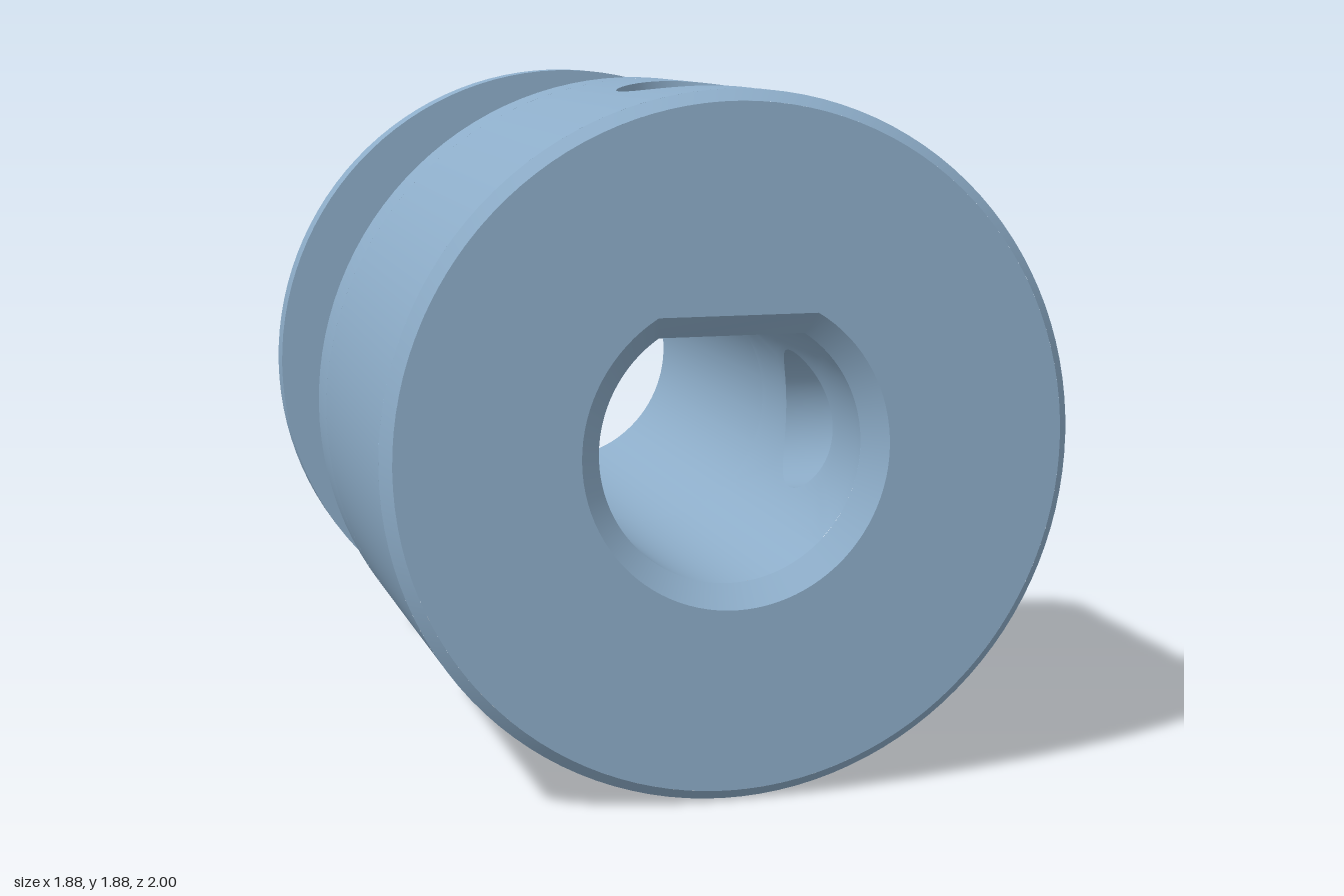
import * as THREE from 'three';
import { mergeGeometries, toCreasedNormals } from 'three/addons/utils/BufferGeometryUtils.js';

const R = 0.94, BORE = 0.36, FLAT = 0.3, EDGE = 0.03, BEVEL = 0.06;
const HUB_BACK = -0.06, FLANGE_FRONT = -0.88, TOP = Math.PI / 2;
const SCREW_R = 0.195, SCREW_Z = 0.53;

// Surface from f(u, v) with u, v in 0..1
function grid(f, nu, nv) {
  const pos = [], index = [];
  for (let j = 0; j <= nv; j++)
    for (let i = 0; i <= nu; i++) pos.push(...f(i / nu, j / nv));
  for (let j = 0; j < nv; j++)
    for (let i = 0; i < nu; i++) {
      const a = j * (nu + 1) + i, b = a + nu + 1;
      index.push(a, a + 1, b + 1, a, b + 1, b);
    }
  const g = new THREE.BufferGeometry();
  g.setAttribute('position', new THREE.Float32BufferAttribute(pos, 3));
  g.setIndex(index);
  return g;
}

const polar = (r, a, z) => [r * Math.cos(a), r * Math.sin(a), z];
const mix = THREE.MathUtils.lerp;

// Band about the axis between two radius/z pairs
function band(r0, z0, r1, z1, a0 = 0, a1 = Math.PI * 2) {
  const n = Math.ceil((a1 - a0) * 18);
  return grid((u, v) => polar(mix(r0, r1, v), mix(a0, a1, u), mix(z0, z1, v)), n, 1);
}

// D-shaped bore outline, the last point closing the flat
function dOutline(r, flat) {
  const half = Math.acos(flat / r), pts = [];
  for (let i = 0; i <= 80; i++)
    pts.push(polar(r, mix(TOP + half, TOP - half + Math.PI * 2, i / 80), 0));
  pts.push(pts[0]);
  return pts;
}

// Band between two D outlines
function dBand(r0, f0, z0, r1, f1, z1) {
  const p = dOutline(r0, f0), q = dOutline(r1, f1), n = p.length - 1;
  return grid((u, v) => {
    const i = Math.round(u * n);
    return [mix(p[i][0], q[i][0], v), mix(p[i][1], q[i][1], v), mix(z0, z1, v)];
  }, n, 1);
}

// Rectangular patch around a screw hole; map(q, z) places it on its surface
function holePatch(map, toQ, halfQ, halfZ, outward) {
  return grid((u, v) => {
    const c = Math.cos(u * Math.PI * 2), s = Math.sin(u * Math.PI * 2);
    const m = Math.max(Math.abs(c), Math.abs(s));
    const k = outward ? 1 - v : v;
    return map(mix(toQ(SCREW_R * c), halfQ * c / m, k),
      SCREW_Z + mix(SCREW_R * s, halfZ * s / m, k));
  }, 64, 6);
}

function cylinderPatch(r, centre, halfQ, halfZ, outward) {
  return holePatch((q, z) => polar(r, centre + q, z), t => Math.asin(t / r), halfQ, halfZ, outward);
}

// Wall of a screw hole, from the outside in to depth(t)
function holeWall(top, depth) {
  return grid((u, v) => {
    const a = u * Math.PI * 2, t = SCREW_R * Math.cos(a);
    const d = mix(Math.sqrt(R * R - t * t), depth(t), v);
    const z = SCREW_Z + SCREW_R * Math.sin(a);
    return top ? [-t, d, z] : [d, t, z];
  }, 64, 1);
}

// Flat end face with the D-shaped opening
function endFace(back) {
  const s = new THREE.Shape().absarc(0, 0, R - EDGE, 0, Math.PI * 2);
  const pts = dOutline(BORE + BEVEL, FLAT + BEVEL).slice(0, -1);
  s.holes.push(new THREE.Path(pts.map(p => new THREE.Vector2(p[0], p[1]))));
  const g = new THREE.ShapeGeometry(s, 60);
  if (back) g.rotateY(Math.PI);
  g.translate(0, 0, back ? -1 : 1);
  g.deleteAttribute('uv');
  g.deleteAttribute('normal');
  return g;
}

// Toothed ring: round grooves with softened tips
function toothGeometry() {
  const teeth = 20, tip = 0.716, pts = [];
  for (let k = 0; k < teeth; k++) {
    const a = k / teeth * Math.PI * 2, c = Math.cos(a), s = Math.sin(a);
    const add = (r, t) => pts.push(new THREE.Vector2(r * c - t * s, r * s + t * c));
    add(0.712, -0.074);
    add(0.706, -0.067);
    for (let i = 0; i <= 12; i++) {
      const b = i / 12 * Math.PI;
      add(0.692 - 0.062 * Math.sin(b), -0.062 * Math.cos(b));
    }
    add(0.706, 0.067);
    add(0.712, 0.074);
    const mid = a + Math.PI / teeth;
    pts.push(new THREE.Vector2(tip * Math.cos(mid), tip * Math.sin(mid)));
  }
  const shape = new THREE.Shape(pts);
  shape.holes.push(new THREE.Path().absarc(0, 0, 0.5, 0, Math.PI * 2, true));
  const g = new THREE.ExtrudeGeometry(shape, {
    depth: HUB_BACK - FLANGE_FRONT + 0.04, bevelEnabled: false, curveSegments: 40,
  });
  return g.translate(0, 0, FLANGE_FRONT - 0.02);
}

export function createModel() {
  const steel = new THREE.MeshStandardMaterial({ color: 0x8eaeca });
  steel.name = 'blueSteel';
  const model = new THREE.Group();
  model.name = 'timingPulley';
  const add = (name, geometry) => {
    const mesh = new THREE.Mesh(toCreasedNormals(geometry, 0.45), steel);
    mesh.name = name;
    mesh.position.y = R;
    model.add(mesh);
  };

  // Hub with two screw holes, one on the left and one on top
  const front = 1 - EDGE, hz = front - SCREW_Z, hubMid = SCREW_Z - hz, hq = 0.4;
  add('hub', mergeGeometries([
    band(0.6, HUB_BACK, R, HUB_BACK),
    band(R, HUB_BACK, R, hubMid),
    band(R, hubMid, R, front, hq, TOP - hq),
    band(R, hubMid, R, front, TOP + hq, Math.PI * 2 - hq),
    cylinderPatch(R, 0, hq, hz, true),
    cylinderPatch(R, TOP, hq, hz, true),
    band(R, front, R - EDGE, 1),
    endFace(false),
  ]));

  add('screwHoles', mergeGeometries([
    holeWall(false, t => Math.sqrt(BORE * BORE - t * t)),
    holeWall(true, () => FLAT),
  ]));

  // D-shaped bore, bevelled at both ends
  const end = 1 - BEVEL, bz = end - SCREW_Z, boreMid = SCREW_Z - bz, bq = 0.8;
  const half = Math.acos(FLAT / BORE), flatHalf = BORE * Math.sin(half);
  add('bore', mergeGeometries([
    dBand(BORE + BEVEL, FLAT + BEVEL, 1, BORE, FLAT, end),
    band(BORE, end, BORE, boreMid, bq, TOP - half),
    band(BORE, end, BORE, boreMid, TOP + half, Math.PI * 2 - bq),
    cylinderPatch(BORE, 0, bq, bz, false),
    holePatch((q, z) => [-q, FLAT, z], t => t, flatHalf, bz, false),
    dBand(BORE, FLAT, boreMid, BORE, FLAT, -end),
    dBand(BORE, FLAT, -end, BORE + BEVEL, FLAT + BEVEL, -1),
  ]));

  add('teeth', toothGeometry());

  // Back flange
  add('flange', mergeGeometries([
    endFace(true),
    band(R - EDGE, -1, R, -1 + EDGE),
    band(R, -1 + EDGE, R, FLANGE_FRONT),
    band(R, FLANGE_FRONT, 0.6, FLANGE_FRONT),
  ]));

  return model;
}
